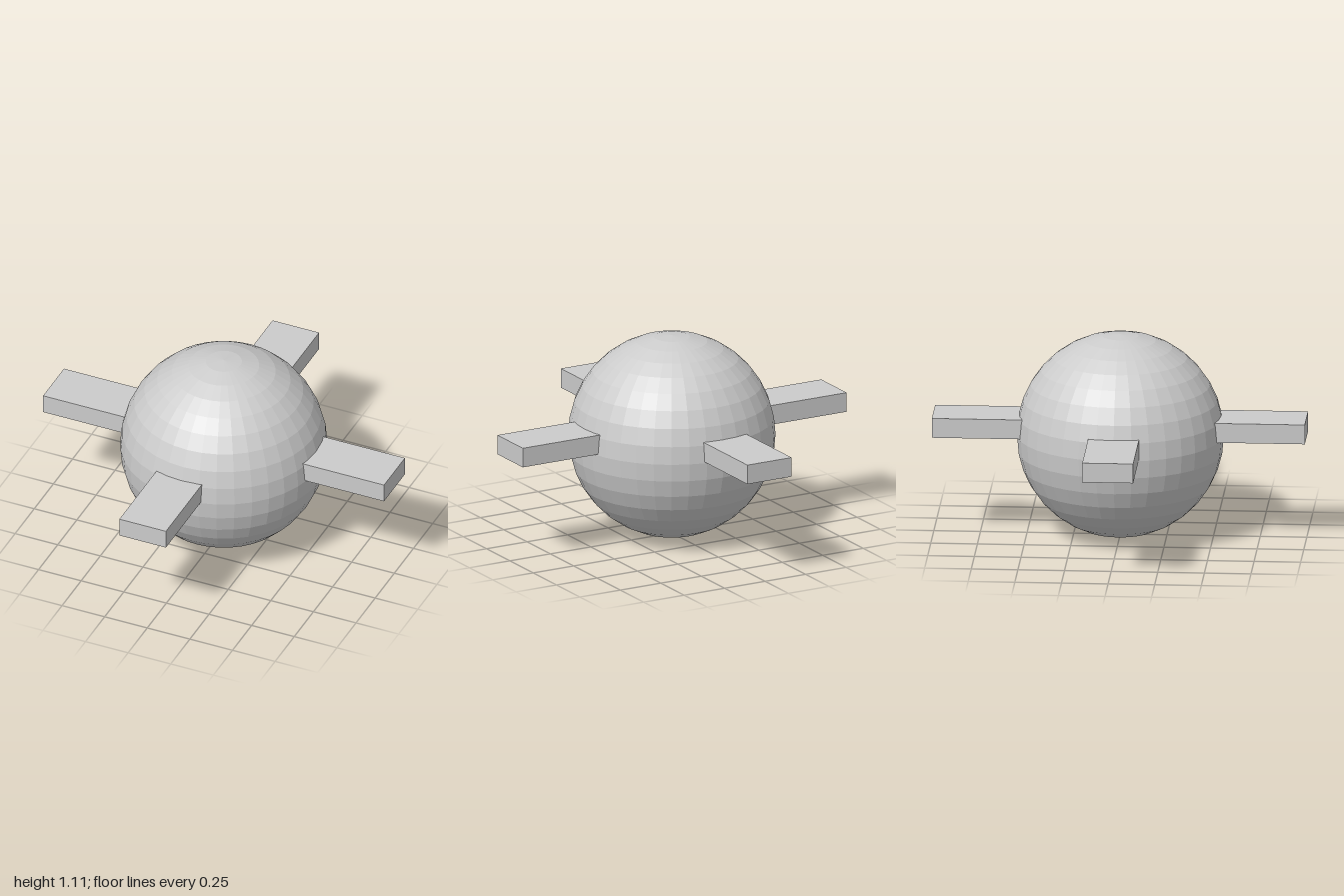
import * as THREE from 'three';

export function createModel() {
  const group = new THREE.Group();
  const material = new THREE.MeshStandardMaterial({ color: 0xcccccc, flatShading: true });

  const add = (name, geometry, x, y, z) => {
    const mesh = new THREE.Mesh(geometry, material);
    mesh.name = name;
    mesh.position.set(x, y, z);
    group.add(mesh);
  };

  // Faceted ball resting on the ground
  const radius = 0.555;
  add('ball', new THREE.SphereGeometry(radius, 36, 18), 0, radius, 0);

  // Four flat arms, from inside the ball out to the full span
  const inner = 0.3, length = 1 - inner, mid = (1 + inner) / 2;
  const width = 0.273, thickness = 0.107, armY = 0.615;
  const offsetX = -0.027; // front and back arms sit slightly off centre
  for (const side of [1, -1]) {
    add(side > 0 ? 'leftArm' : 'rightArm',
      new THREE.BoxGeometry(length, thickness, width), side * mid, armY, -0.002);
    add(side > 0 ? 'frontArm' : 'backArm',
      new THREE.BoxGeometry(width, thickness, length), offsetX, armY, side * mid);
  }

  return group;
}
